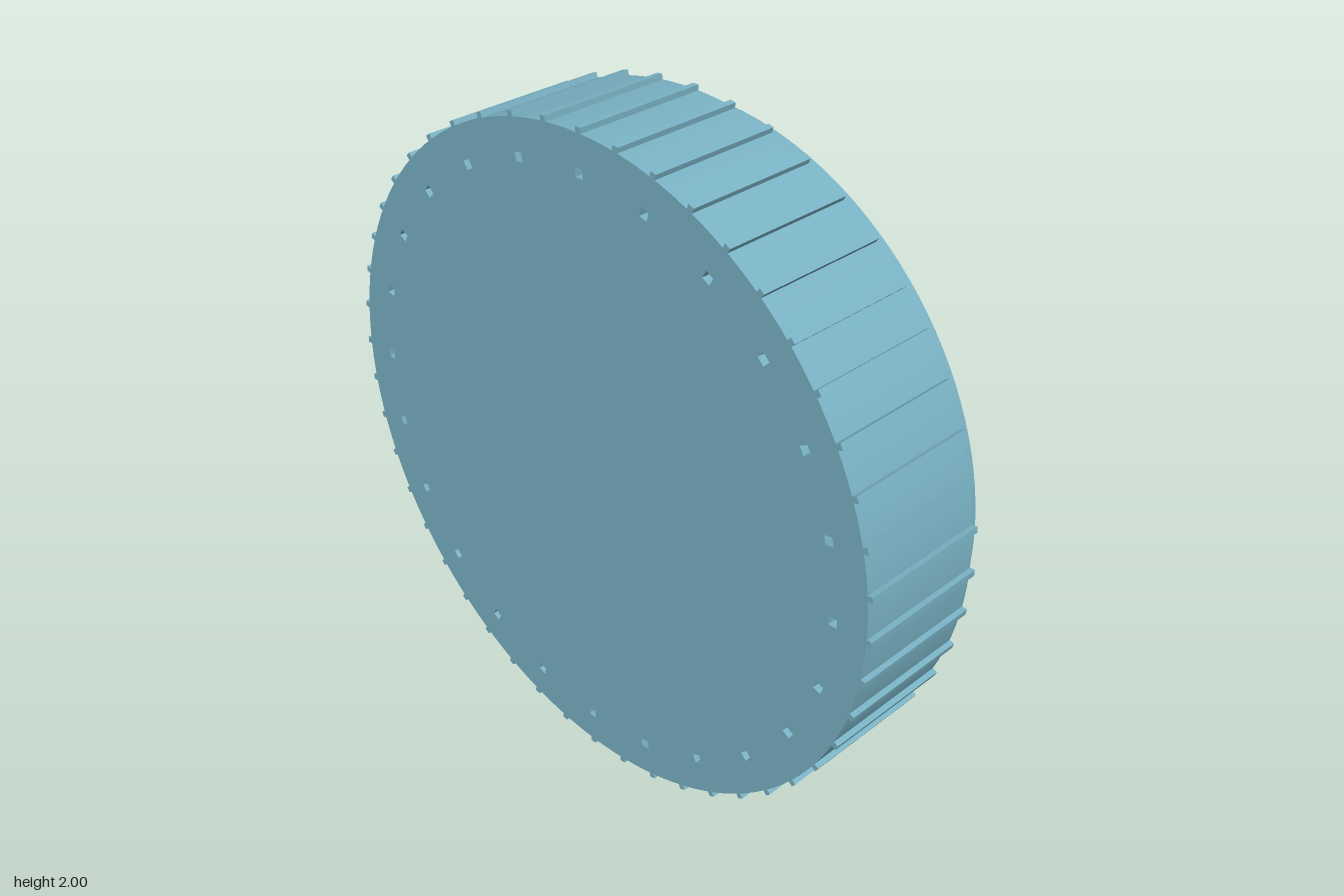
import * as THREE from 'three';
import { mergeGeometries } from 'three/addons/utils/BufferGeometryUtils.js';

const SEG = 128;
const FRONT = 0.24, SHOULDER = -0.16, BACK = -0.24, FLOOR = 0.2;

// Adds a rectangle, turned by an angle, to a shape or path
function rect(path, cx, cy, w, h, angle = 0) {
  const c = Math.cos(angle), s = Math.sin(angle);
  const corners = [[-1, -1], [1, -1], [1, 1], [-1, 1]].map(([a, b]) => {
    const x = a * w / 2, y = b * h / 2;
    return new THREE.Vector2(cx + x * c - y * s, cy + x * s + y * c);
  });
  path.setFromPoints(corners);
  path.closePath();
  return path;
}

// Revolves a profile of [radius, z] around z, with a sharp edge at every point
function revolve(profile) {
  const bands = [];
  for (let i = 1; i < profile.length; i++) {
    const points = [profile[i - 1], profile[i]].map(([r, z]) => new THREE.Vector2(r, z));
    bands.push(new THREE.LatheGeometry(points, SEG));
  }
  return mergeGeometries(bands).rotateX(Math.PI / 2);
}

export function createModel() {
  const model = new THREE.Group();
  model.name = 'ribbedCap';
  const dial = new THREE.Group();
  dial.name = 'cap';
  dial.position.y = 1;
  model.add(dial);

  const blue = new THREE.MeshStandardMaterial({ color: 0x7ab3c5 });
  blue.name = 'dustyBlue';

  const add = (name, geometry, parent = dial) => {
    const mesh = new THREE.Mesh(geometry, blue);
    mesh.name = name;
    parent.add(mesh);
    return mesh;
  };

  // Hollow shell: floor, stepped cavity, back lip, shoulder and outer wall
  add('shell', revolve([
    [0, FLOOR], [0.807, FLOOR], [0.807, 0], [0.845, 0], [0.845, BACK],
    [0.935, BACK], [0.935, SHOULDER], [0.985, SHOULDER], [0.985, FRONT], [0.975, FRONT],
  ]));

  // Front plate with a circle of small square sockets
  const plate = new THREE.Shape();
  plate.absarc(0, 0, 0.98, 0, Math.PI * 2);
  for (let i = 0; i < 24; i++) {
    const a = i / 24 * Math.PI * 2;
    plate.holes.push(rect(new THREE.Path(), 0.88 * Math.cos(a), 0.88 * Math.sin(a), 0.026, 0.026, a));
  }
  const plateDepth = 0.025;
  add('frontPlate', new THREE.ExtrudeGeometry(plate, {
    depth: plateDepth, bevelEnabled: false, curveSegments: SEG,
  }).translate(0, 0, FRONT - plateDepth));
  add('socketFloor', new THREE.CircleGeometry(0.95, SEG).translate(0, 0, FRONT - plateDepth));

  // Grip ribs around the outer wall
  const ribs = new THREE.Group();
  ribs.name = 'gripRibs';
  dial.add(ribs);
  const ribShape = new THREE.BoxGeometry(0.03, 0.018, FRONT - SHOULDER);
  for (let i = 0; i < 48; i++) {
    const a = i / 48 * Math.PI * 2;
    const rib = add('gripRib', ribShape, ribs);
    rib.position.set(0.985 * Math.cos(a), 0.985 * Math.sin(a), (FRONT + SHOULDER) / 2);
    rib.rotation.z = a;
  }

  // Rectangular socket standing on the cavity floor
  const boss = rect(new THREE.Shape(), 0, 0, 0.165, 0.25);
  boss.holes.push(rect(new THREE.Path(), 0, 0, 0.115, 0.2));
  add('centreSocket', new THREE.ExtrudeGeometry(boss, {
    depth: 0.185, bevelEnabled: false,
  }).translate(0, 0, FLOOR - 0.185));

  return model;
}
